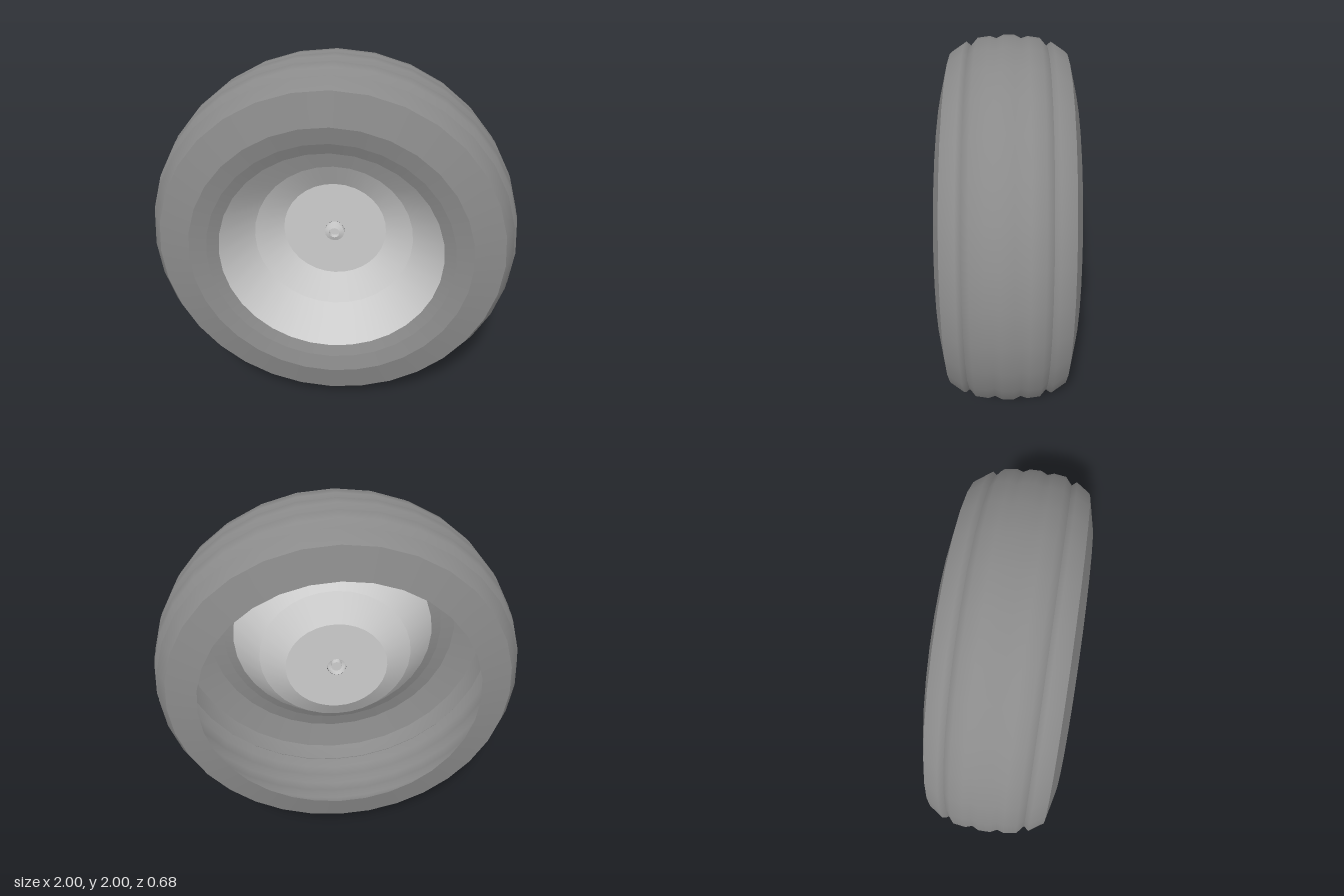
import * as THREE from 'three';
import { mergeGeometries } from 'three/addons/utils/BufferGeometryUtils.js';

const SEGMENTS = 32;

// Turns [radius, z] profiles about the z axis; each profile is smooth, joints between them stay sharp
function turned(name, profiles, color, segments = SEGMENTS) {
  const parts = profiles.map((points) =>
    new THREE.LatheGeometry(points.map(([r, z]) => new THREE.Vector2(r, z)), segments));
  const geometry = mergeGeometries(parts);
  geometry.rotateX(Math.PI / 2);
  const material = new THREE.MeshStandardMaterial({ color, side: THREE.DoubleSide });
  const mesh = new THREE.Mesh(geometry, material);
  mesh.name = name;
  return mesh;
}

// Mirrors a profile to the back and keeps the back-to-front order
const mirrored = (points) => points.map(([r, z]) => [r, -z]).reverse();

export function createModel() {
  const wheel = new THREE.Group();
  wheel.name = 'wheel';

  // Tyre: thin shell with a ribbed tread, open at the back
  const shoulder = [[0.945, 0.2], [0.965, 0.225], [0.915, 0.3]];
  const sidewall = [[0.915, 0.3], [0.75, 0.34]];
  const halfTread = [[1, 0.03], [0.983, 0.065], [0.994, 0.1], [0.985, 0.165], [0.945, 0.2]];
  const tread = [...mirrored(halfTread), ...halfTread];
  wheel.add(turned('tyre', [
    mirrored(sidewall),
    mirrored(shoulder),
    tread,
    shoulder,
    sidewall,
    [[0.75, 0.34], [0.66, 0.32]],
    [[0.66, 0.32], [0.6, 0.295]],
  ], 0x8a8a8a));

  // Rim: cone narrowing inwards from the tyre
  wheel.add(turned('rim', [[[0.6, 0.295], [0.44, 0.1]]], 0xcccccc));

  // Hub: shallow dish with a flat centre
  wheel.add(turned('hub', [
    [[0.44, 0.1], [0.29, 0]],
    [[0.29, 0], [0.055, 0]],
  ], 0xcccccc));

  // Axle cap: short boss with a recess in its face
  wheel.add(turned('axleCap', [
    [[0.055, 0], [0.055, 0.025]],
    [[0.055, 0.025], [0.03, 0.035]],
    [[0.03, 0.035], [0.03, 0.005]],
    [[0.03, 0.005], [0, 0.005]],
  ], 0xcccccc, 16));

  wheel.position.y = 1;
  const model = new THREE.Group();
  model.name = 'wheelModel';
  model.add(wheel);
  return model;
}
